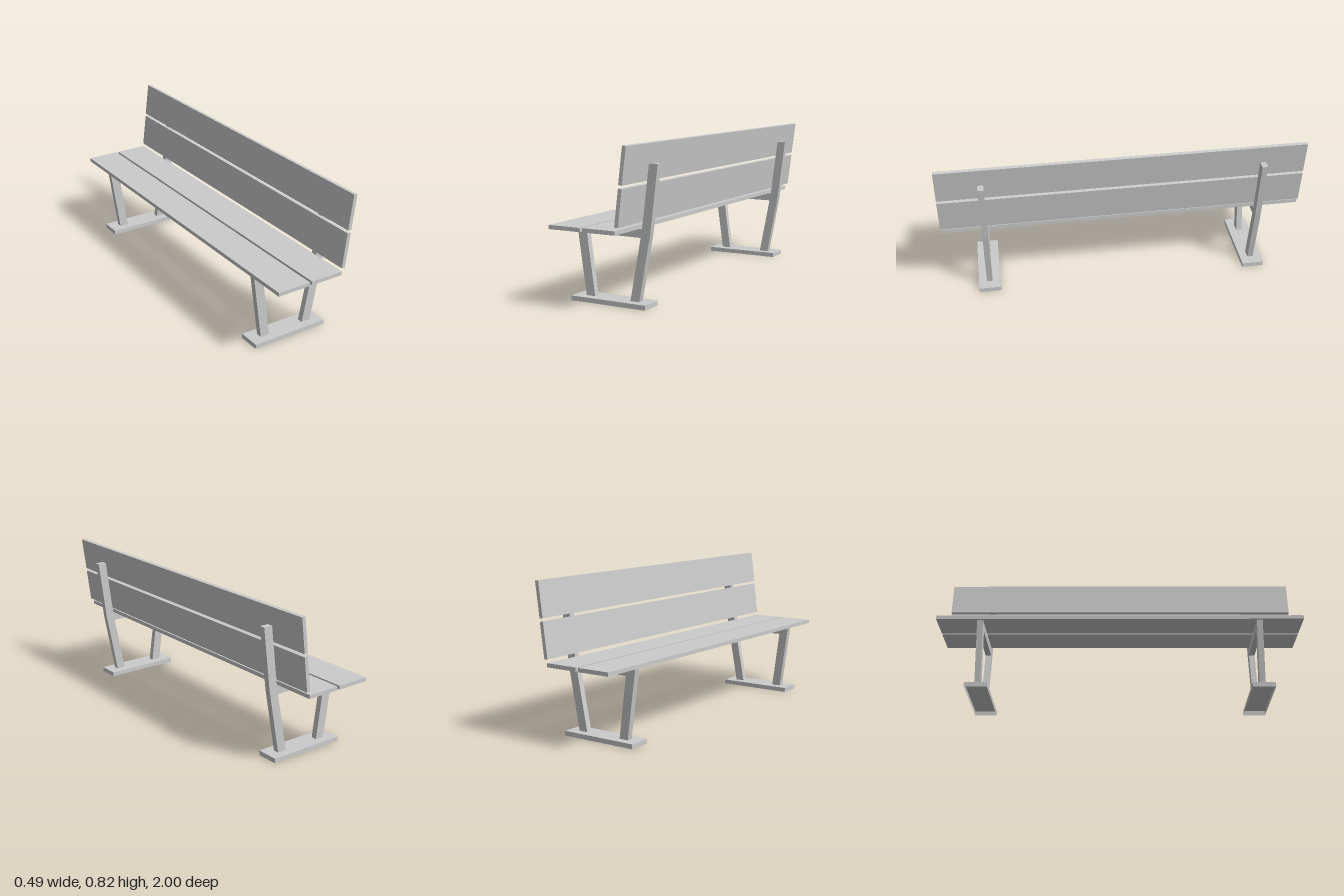
import * as THREE from 'three';

const material = new THREE.MeshStandardMaterial({ color: 0xcccccc, flatShading: true });
const openMaterial = new THREE.MeshStandardMaterial({ color: 0xcccccc, flatShading: true, side: THREE.DoubleSide });

// Extrudes an x/y outline along z, centred on the given z
function prism(name, points, depth, z = 0) {
  const shape = new THREE.Shape(points.map(([x, y]) => new THREE.Vector2(x, y)));
  const geometry = new THREE.ExtrudeGeometry(shape, { depth, bevelEnabled: false });
  geometry.translate(0, 0, z - depth / 2);
  const mesh = new THREE.Mesh(geometry, material);
  mesh.name = name;
  return mesh;
}

// Shallow foot plate, open underneath
function footPlate(z) {
  const geometry = new THREE.BoxGeometry(0.44, 0.025, 0.122);
  const index = Array.from(geometry.index.array);
  index.splice(18, 6); // drop the bottom face
  geometry.setIndex(index);
  geometry.clearGroups();
  geometry.translate(-0.026, 0.0125, z);
  const mesh = new THREE.Mesh(geometry, openMaterial);
  mesh.name = 'footPlate';
  return mesh;
}

// Legs, seat rail and back post in one outline
const frameOutline = [
  [-0.183, 0.025], [-0.131, 0.025], [-0.176, 0.352], [0.145, 0.35],
  [0.082, 0.025], [0.134, 0.025], [0.201, 0.38], [0.245, 0.72],
  [0.195, 0.72], [0.153, 0.395], [-0.235, 0.395],
];

export function createModel() {
  const bench = new THREE.Group();
  bench.name = 'bench';

  // Two end supports
  for (const side of [-1, 1]) {
    const support = new THREE.Group();
    support.name = side > 0 ? 'frontSupport' : 'rearSupport';
    support.add(prism('sideFrame', frameOutline, 0.032, side * 0.762), footPlate(side * 0.762));
    bench.add(support);
  }

  // Seat planks
  for (const [x0, x1] of [[-0.247, -0.06], [-0.046, 0.14]]) {
    bench.add(prism('seatPlank', [[x0, 0.395], [x1, 0.395], [x1, 0.416], [x0, 0.416]], 2));
  }

  // Leaning backrest planks
  for (const [x, y] of [[0.158, 0.432], [0.183, 0.634]]) {
    bench.add(prism('backPlank', [
      [x, y], [x + 0.024, y + 0.186], [x + 0.0035, y + 0.1885], [x - 0.0205, y + 0.0025],
    ], 2));
  }

  return bench;
}
